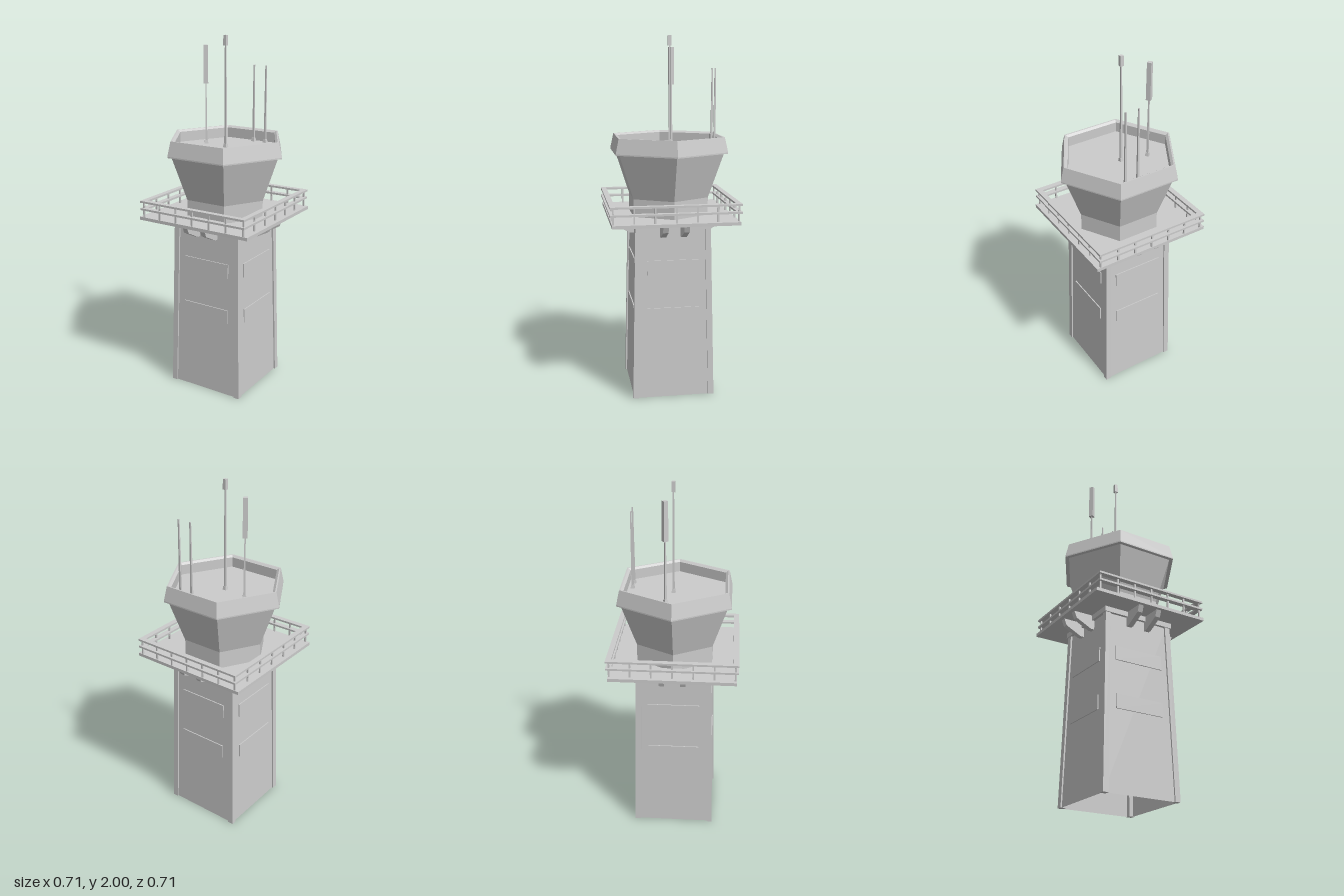
import * as THREE from 'three';

const material = new THREE.MeshStandardMaterial({ color: 0xcccccc, flatShading: true, side: THREE.DoubleSide });

function add(parent, name, geometry, x = 0, y = 0, z = 0) {
  const mesh = new THREE.Mesh(geometry, material);
  mesh.name = name;
  mesh.position.set(x, y, z);
  parent.add(mesh);
  return mesh;
}

const box = (w, h, d) => new THREE.BoxGeometry(w, h, d);

// Four-sided frustum given by its half widths, standing on y = 0
function frustum(top, bottom, height, open = false) {
  return new THREE.CylinderGeometry(top * Math.SQRT2, bottom * Math.SQRT2, height, 4, 1, open)
    .rotateY(Math.PI / 4).translate(0, height / 2, 0);
}

// Hexagonal shell with corners on the x axis
function hexShell(profile) {
  const points = profile.map(([r, y]) => new THREE.Vector2(r, y));
  return new THREE.LatheGeometry(points, 6, Math.PI / 2);
}

// Corner post leaning inward along with the tapered wall
function leaningPost(sx, sz) {
  const geometry = box(0.032, 1, 0.032).translate(0, 0.5, 0);
  const p = geometry.attributes.position;
  for (let i = 0; i < p.count; i++) {
    const centre = 0.214 - 0.022 * p.getY(i);
    p.setX(i, p.getX(i) + sx * centre);
    p.setZ(i, p.getZ(i) + sz * centre);
  }
  return geometry;
}

function bracketGeometry() {
  const shape = new THREE.Shape([
    [0.19, 1.005], [0.325, 1.005], [0.31, 0.967], [0.22, 0.922], [0.19, 0.922],
  ].map(([x, y]) => new THREE.Vector2(x, y)));
  return new THREE.ExtrudeGeometry(shape, { depth: 0.03, bevelEnabled: false })
    .translate(0, 0, -0.015).rotateY(-Math.PI / 2);
}

function antenna(parent, name, x, z, rodTop, cap, turn = 0) {
  const group = new THREE.Group();
  group.name = name;
  group.position.set(x, 1.39, z);
  group.rotation.y = turn;
  add(group, 'antennaFoot', frustum(0.008, 0.011, 0.02));
  add(group, 'antennaRod', frustum(0.0035, 0.006, rodTop - 1.39));
  if (cap) add(group, 'antennaHead', frustum(cap.half * 0.9, cap.half, cap.height), 0, rodTop - 1.39, 0);
  parent.add(group);
}

export function createModel() {
  const model = new THREE.Group();
  model.name = 'controlTower';

  // Tapered shaft, open underneath
  add(model, 'shaftWall', frustum(0.198, 0.222, 1, true));
  for (const sx of [-1, 1]) for (const sz of [-1, 1]) add(model, 'cornerPost', leaningPost(sx, sz));
  add(model, 'shaftCollar', box(0.43, 0.03, 0.43), 0, 0.99, 0);

  // Wall panels and platform brackets, repeated on the four sides
  const bracket = bracketGeometry();
  for (let i = 0; i < 4; i++) {
    const side = new THREE.Group();
    side.name = 'shaftSide';
    side.rotation.y = i * Math.PI / 2;
    for (const y of [0.48, 0.75]) {
      const panel = add(side, 'wallPanel', box(0.29, 0.08, 0.012), 0, y, 0.222 - 0.024 * y);
      panel.rotation.x = -0.024;
    }
    for (const x of [-0.057, 0.057]) add(side, 'platformBracket', bracket, x, 0, 0);
    model.add(side);
  }

  // Platform
  add(model, 'platform', box(0.694, 0.018, 0.69), 0, 1.013, 0);

  // Railing: two flat bars on each side, carried by slim posts
  for (const s of [-1, 1]) {
    for (const y of [1.07, 1.112]) {
      add(model, 'railBar', box(0.67, 0.011, 0.03), 0, y, s * 0.34);
      add(model, 'railBar', box(0.03, 0.011, 0.65), s * 0.32, y, 0);
    }
    for (let i = -3; i <= 3; i++) {
      add(model, 'railPost', box(0.009, 0.092, 0.009), i * 0.107, 1.066, s * 0.338);
      if (Math.abs(i) < 3) add(model, 'railPost', box(0.009, 0.092, 0.009), s * 0.32, 1.066, i * 0.113);
    }
  }

  // Hexagonal cabin with outward leaning windows
  add(model, 'cabinBase', hexShell([[0.24, 1.02], [0.24, 1.12]]));
  add(model, 'cabinWindows', hexShell([[0.24, 1.12], [0.33, 1.368]]));
  add(model, 'roofParapet', hexShell([
    [0.328, 1.368], [0.354, 1.368], [0.354, 1.375], [0.334, 1.457], [0.325, 1.457], [0.31, 1.447], [0.31, 1.39],
  ]));
  add(model, 'roofDeck', hexShell([[0.312, 1.39], [0, 1.39]]));

  // Roof antennas
  antenna(model, 'mainAntenna', -0.01, -0.013, 1.945, { half: 0.01, height: 0.055 });
  antenna(model, 'thickAntenna', -0.161, -0.045, 1.73, { half: 0.013, height: 0.21 }, 0.6);
  antenna(model, 'whipAntenna', 0.035, -0.243, 1.825);
  antenna(model, 'whipAntenna', 0.111, -0.243, 1.825);

  return model;
}
